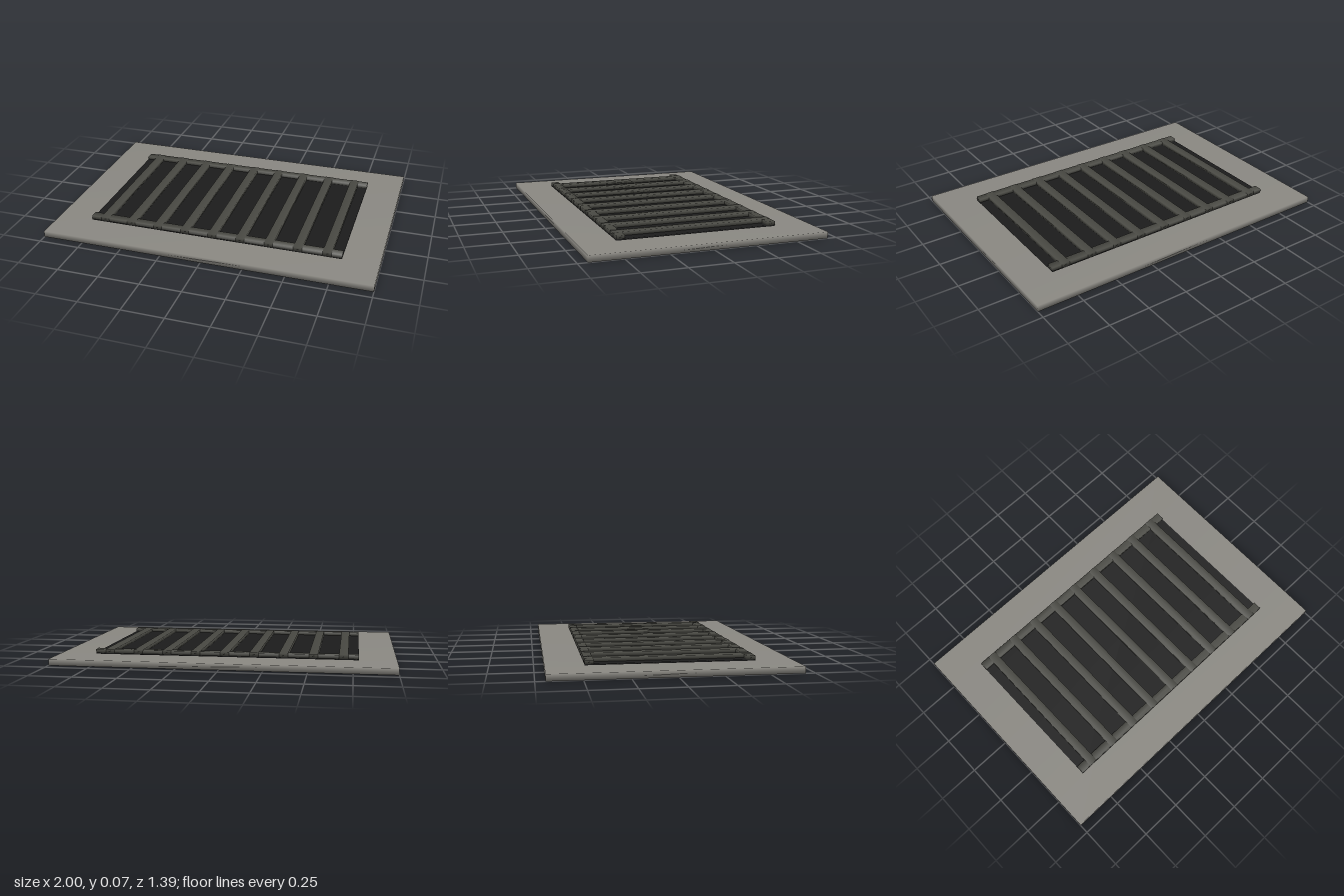
import * as THREE from 'three';
import { mergeVertices } from 'three/addons/utils/BufferGeometryUtils.js';

// Box with shared corners, so its shading runs smoothly round the edges
function softBox(w, h, d) {
  const box = new THREE.BoxGeometry(w, h, d);
  box.deleteAttribute('normal');
  box.deleteAttribute('uv');
  const geometry = mergeVertices(box);
  geometry.computeVertexNormals();
  return geometry;
}

export function createModel() {
  const model = new THREE.Group();
  model.name = 'floorGrate';

  const material = (name, color) => {
    const m = new THREE.MeshStandardMaterial({ color });
    m.name = name;
    return m;
  };
  const stone = material('warm grey', 0x8a8882);
  const iron = material('iron grey', 0x4a4a44);
  const pit = material('dark pit', 0x1c1c1c);

  // Adds a box by its size, its base height and its centre
  const add = (name, mat, [w, h, d], base, x = 0, z = 0) => {
    const mesh = new THREE.Mesh(softBox(w, h, d), mat);
    mesh.name = name;
    mesh.position.set(x, base + h / 2, z);
    model.add(mesh);
  };

  // Base slab and the dark opening on it
  add('basePlate', stone, [2, 0.038, 1.39], 0);
  add('darkOpening', pit, [1.565, 0.009, 0.955], 0.037);

  // Cross rails at the front and back
  for (const side of [1, -1]) {
    add(side > 0 ? 'frontRail' : 'backRail', iron, [1.565, 0.022, 0.05], 0.044, 0, side * 0.453);
  }

  // Nine evenly spaced bars over the opening
  for (let i = -4; i <= 4; i++) {
    add('grateBar' + (i + 5), iron, [0.053, 0.024, 0.957], 0.044, i * 0.1737);
  }
  return model;
}
